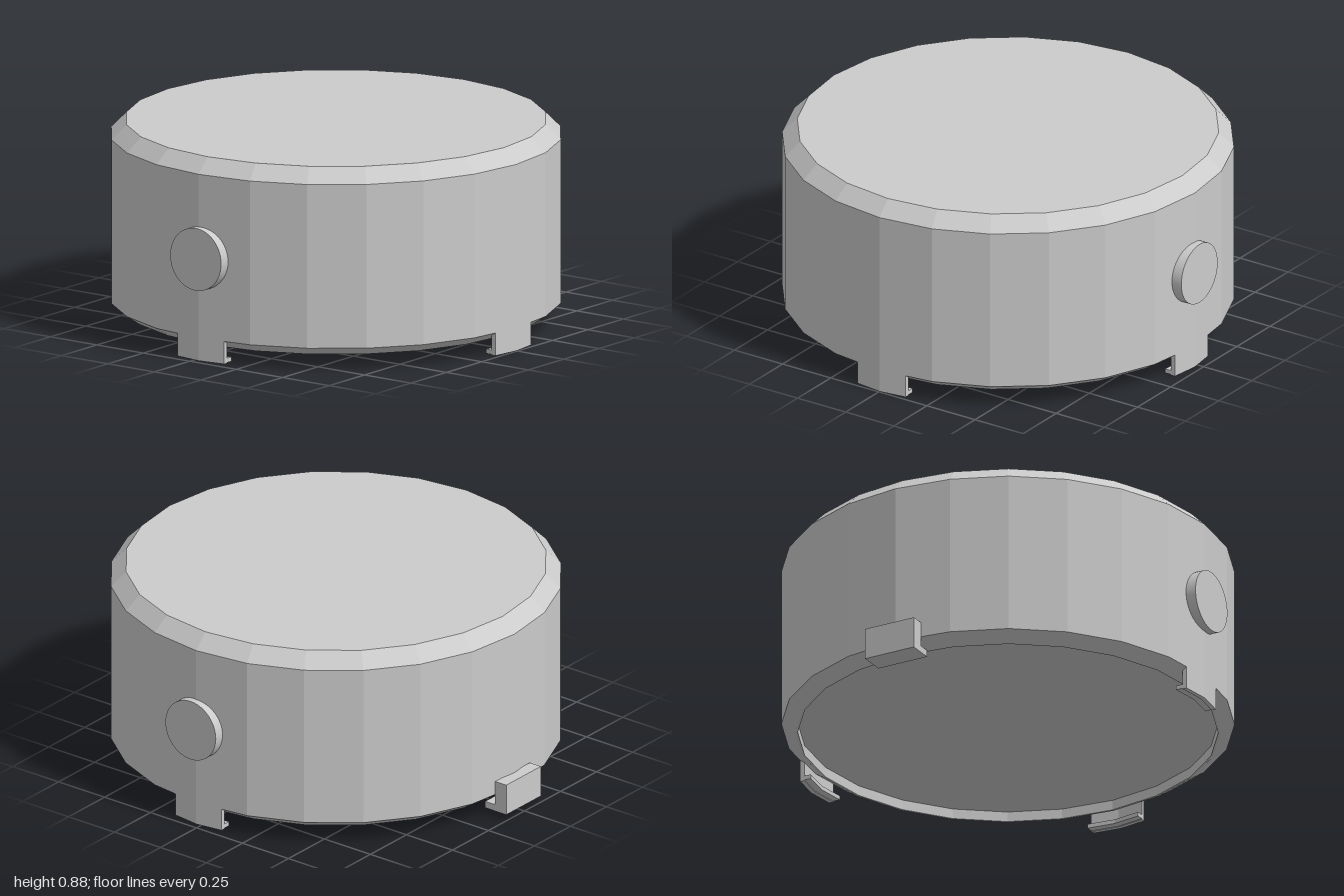
import * as THREE from 'three';

const R = 0.97, SIDES = 24, CENTRE_Z = 0.025;
const grey = new THREE.MeshStandardMaterial({ color: 0xcccccc, flatShading: true });
const smoothGrey = new THREE.MeshStandardMaterial({ color: 0xcccccc });

function add(parent, name, geometry, material = grey) {
  const mesh = new THREE.Mesh(geometry, material);
  mesh.name = name;
  parent.add(mesh);
  return mesh;
}

// Slab that follows the faceted wall either side of a corner, between two radii and two heights
function wallSlab(halfWidth, inner, outer, y0, y1) {
  const drop = halfWidth * Math.tan(Math.PI / SIDES);
  const shape = new THREE.Shape([
    [-halfWidth, inner - drop], [0, inner], [halfWidth, inner - drop],
    [halfWidth, outer - drop], [0, outer], [-halfWidth, outer - drop],
  ].map(([x, y]) => new THREE.Vector2(x, y)));
  return new THREE.ExtrudeGeometry(shape, { depth: y1 - y0, bevelEnabled: false })
    .rotateX(Math.PI / 2).translate(0, y1, 0);
}

function box(w, y0, y1, z0, z1) {
  return new THREE.BoxGeometry(w, y1 - y0, z1 - z0).translate(0, (y0 + y1) / 2, (z0 + z1) / 2);
}

export function createModel() {
  const model = new THREE.Group();
  model.name = 'roundHousing';
  const housing = new THREE.Group();
  housing.name = 'housing';
  housing.position.z = CENTRE_Z;
  model.add(housing);

  // Drum with chamfered rims and a recessed floor
  const profile = [[0, 0.105], [0.9, 0.105], [0.9, 0.06], [0.91, 0.06], [R, 0.1],
    [R, 0.82], [0.905, 0.885], [0, 0.885]].map(([x, y]) => new THREE.Vector2(x, y));
  add(housing, 'body', new THREE.LatheGeometry(profile, SIDES));

  // Hooked snap legs at the front and both sides
  [['frontClip', 0], ['leftClip', Math.PI / 2], ['rightClip', -Math.PI / 2]].forEach(([name, angle]) => {
    const clip = new THREE.Group();
    clip.name = name;
    clip.rotation.y = angle;
    add(clip, 'leg', wallSlab(0.125, 0.95, R, 0, 0.11));
    add(clip, 'hook', wallSlab(0.125, 0.918, 0.96, 0.003, 0.022));
    housing.add(clip);
  });

  // Round side buttons
  for (const side of [1, -1]) {
    const button = add(housing, side > 0 ? 'leftButton' : 'rightButton',
      new THREE.CylinderGeometry(0.137, 0.137, 0.07, 48).rotateZ(Math.PI / 2), smoothGrey);
    button.position.set(side * 0.965, 0.452, 0.007);
  }

  // Rear latch: thick plate on the wall with an inward hook below
  const latch = new THREE.Group();
  latch.name = 'rearLatch';
  add(latch, 'plate', box(0.24, 0.025, 0.165, -0.995, -0.935));
  add(latch, 'hook', box(0.24, 0.025, 0.055, -0.94, -0.88));
  model.add(latch);

  return model;
}
